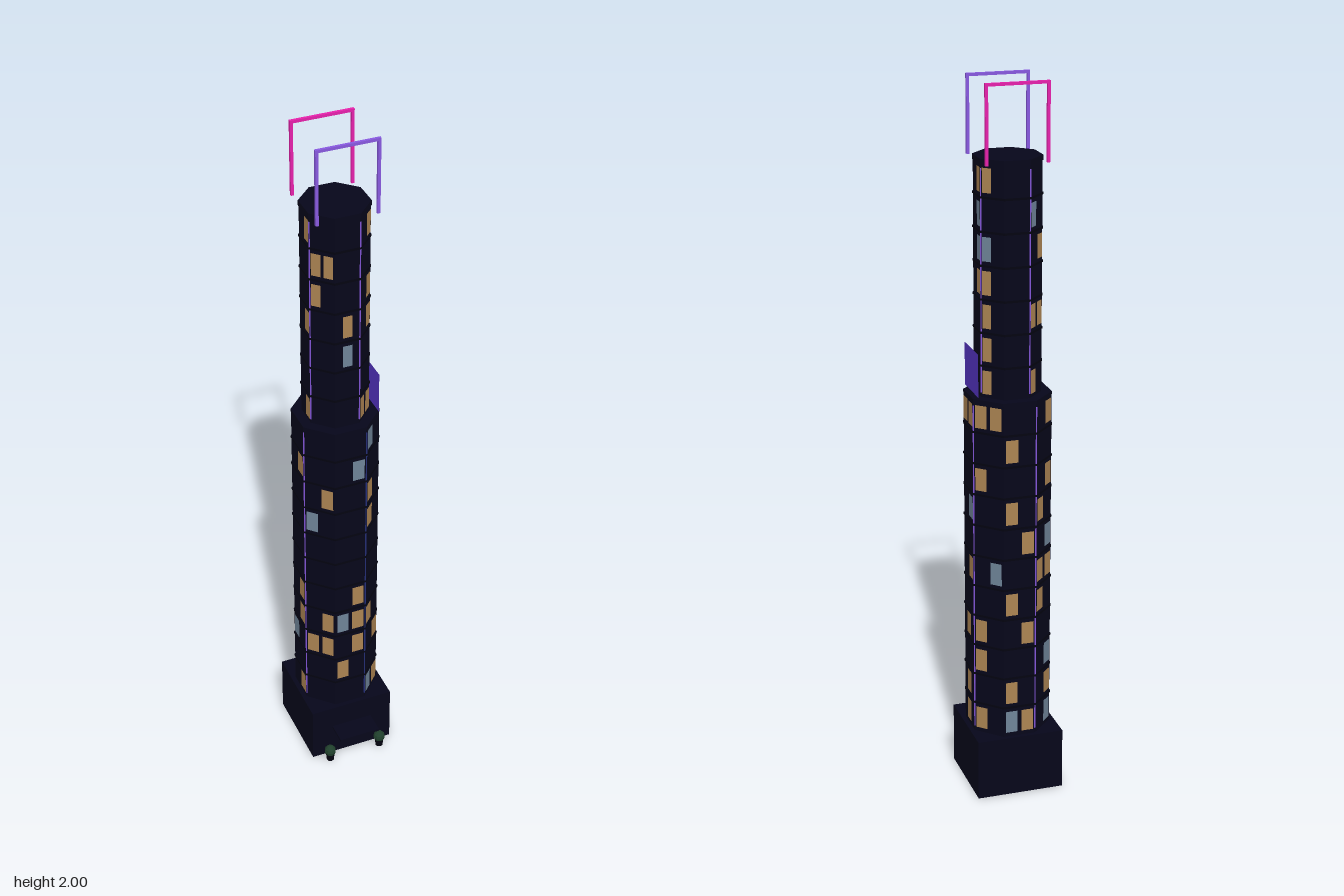
import * as THREE from 'three';
import { mergeGeometries, toCreasedNormals } from 'three/addons/utils/BufferGeometryUtils.js';

const CZ = -0.0325; // tower axis in z

function material(name, color) {
  const m = new THREE.MeshStandardMaterial({ color });
  m.name = name;
  return m;
}

// Window layout, bottom floor first: 16 cells around the octagon, two per face,
// starting at the front face and running towards +x.  w = warm, b = blue, . = dark;
// a capital is a pane centred on its face
const LOWER_WINDOWS = [
  '..bw.Ww.bw.b.w..',
  'w....W..w..w....',
  '.w.w..w....bb.ww',
  'bww..Ww..w...w.w',
  '.w......w.w..w..',
  '.....w.b..ww....',
  '.........w.b....',
  '..w..b..w.w...b.',
  '..w...w....w...w',
  '.b......w....w..',
  '..b.wwww...w....',
];
const UPPER_WINDOWS = [
  '..ww..w...w..w..',
  '......w.........',
  '.B....w...ww....',
  '.W.w.ww......w..',
  '...w.bb....w..w.',
  '.....b....b...ww',
  '...w.ww......w..',
];

export function createModel() {
  const model = new THREE.Group();
  const wall = material('midnight wall', 0x06061a);
  const trim = material('black trim', 0x030310);
  const warm = material('warm window', 0xac8452);
  const blue = material('blue window', 0x6f8498);
  const violet = material('violet neon', 0x8859e0);
  const magenta = material('magenta neon', 0xec22b0);
  const signColor = material('purple sign', 0x5534c4);
  signColor.side = THREE.DoubleSide;
  const blueNeon = material('dim blue neon', 0x26307c);
  const leaf = material('shrub green', 0x20402c);

  function add(name, geometry, mat, x = 0, y = 0, z = 0, parent = model) {
    const mesh = new THREE.Mesh(geometry, mat);
    mesh.name = name;
    mesh.position.set(x, y, z);
    parent.add(mesh);
    return mesh;
  }
  const box = (name, mat, w, h, d, x, y, z, parent) =>
    add(name, new THREE.BoxGeometry(w, h, d), mat, x, y, z, parent);

  // Eight-sided prism with flat faces; a is the distance from axis to face
  function octagon(a, h) {
    const r = a / Math.cos(Math.PI / 8);
    return toCreasedNormals(new THREE.CylinderGeometry(r, r, h, 8, 1, false, Math.PI / 8), 0.3);
  }

  // One tower stage: shaft, floor bands, lit windows and neon on four edges
  function stage(name, a, y0, y1, rows, frontNeon) {
    const g = new THREE.Group();
    g.name = name;
    g.position.z = CZ;
    model.add(g);
    const h = y1 - y0;
    const floor = h / rows.length;
    const faceWidth = 2 * a * Math.tan(Math.PI / 8);
    add('shaft', octagon(a, h), wall, 0, (y0 + y1) / 2, 0, g);

    const bands = [];
    for (let i = 1; i < rows.length; i++) {
      bands.push(octagon(a + 0.002, 0.006).translate(0, y0 + i * floor, 0));
    }
    add('floorBands', mergeGeometries(bands), trim, 0, 0, 0, g);

    const panes = { w: [], b: [] };
    rows.forEach((row, i) => {
      [...row].forEach((cell, c) => {
        if (cell === '.') return;
        const kind = cell.toLowerCase();
        const side = cell !== kind ? 0 : c % 2 ? 1 : -1;
        panes[kind].push(new THREE.PlaneGeometry(faceWidth * 0.38, floor * 0.72)
          .translate(side * faceWidth * 0.25, y0 + (i + 0.5) * floor, a + 0.0015)
          .rotateY(Math.floor(c / 2) * Math.PI / 4));
      });
    });
    add('warmWindows', mergeGeometries(panes.w), warm, 0, 0, 0, g);
    add('blueWindows', mergeGeometries(panes.b), blue, 0, 0, 0, g);

    const r = a / Math.cos(Math.PI / 8);
    for (let i = 0; i < 4; i++) {
      const t = Math.PI / 8 + i * Math.PI / 2;
      const strip = box('edgeNeon', i ? violet : frontNeon, 0.003, h - 0.03, 0.003,
        r * Math.sin(t), (y0 + y1) / 2, r * Math.cos(t), g);
      strip.rotation.y = t;
    }
  }

  // Podium with entrance canopy
  box('podium', wall, 0.247, 0.175, 0.246, 0, 0.0875, CZ);
  box('entranceCanopy', wall, 0.122, 0.007, 0.064, 0, 0.1, 0.122);

  // Planters on both sides of the entrance
  for (const s of [-1, 1]) {
    add('planterPot', new THREE.CylinderGeometry(0.014, 0.011, 0.028, 8), trim, s * 0.079, 0.014, 0.116);
    add('shrub', toCreasedNormals(new THREE.SphereGeometry(0.0175, 8, 6), 0.1), leaf,
      s * 0.079, 0.034, 0.116);
  }

  // Tower stages with parapets
  stage('lowerTower', 0.11, 0.175, 1.155, LOWER_WINDOWS, blueNeon);
  stage('upperTower', 0.084, 1.155, 1.79, UPPER_WINDOWS, violet);
  add('lowerRoof', octagon(0.111, 0.008), wall, 0, 1.154, CZ);
  add('roofCap', octagon(0.086, 0.014), wall, 0, 1.793, CZ);

  // Side sign standing on the setback
  const sign = add('sideSign', new THREE.PlaneGeometry(0.124, 0.12), signColor, 0.1, 1.224, -0.029);
  sign.rotation.y = Math.PI / 2;

  // Neon frames above the roof
  for (const [name, mat, z] of [['frontFrame', violet, 0.051], ['backFrame', magenta, -0.115]]) {
    const g = new THREE.Group();
    g.name = name;
    model.add(g);
    for (const s of [-1, 1]) box('post', mat, 0.008, 0.205, 0.008, s * 0.083, 1.8925, z, g);
    box('crossbar', mat, 0.174, 0.008, 0.008, 0, 1.996, z, g);
  }
  return model;
}
